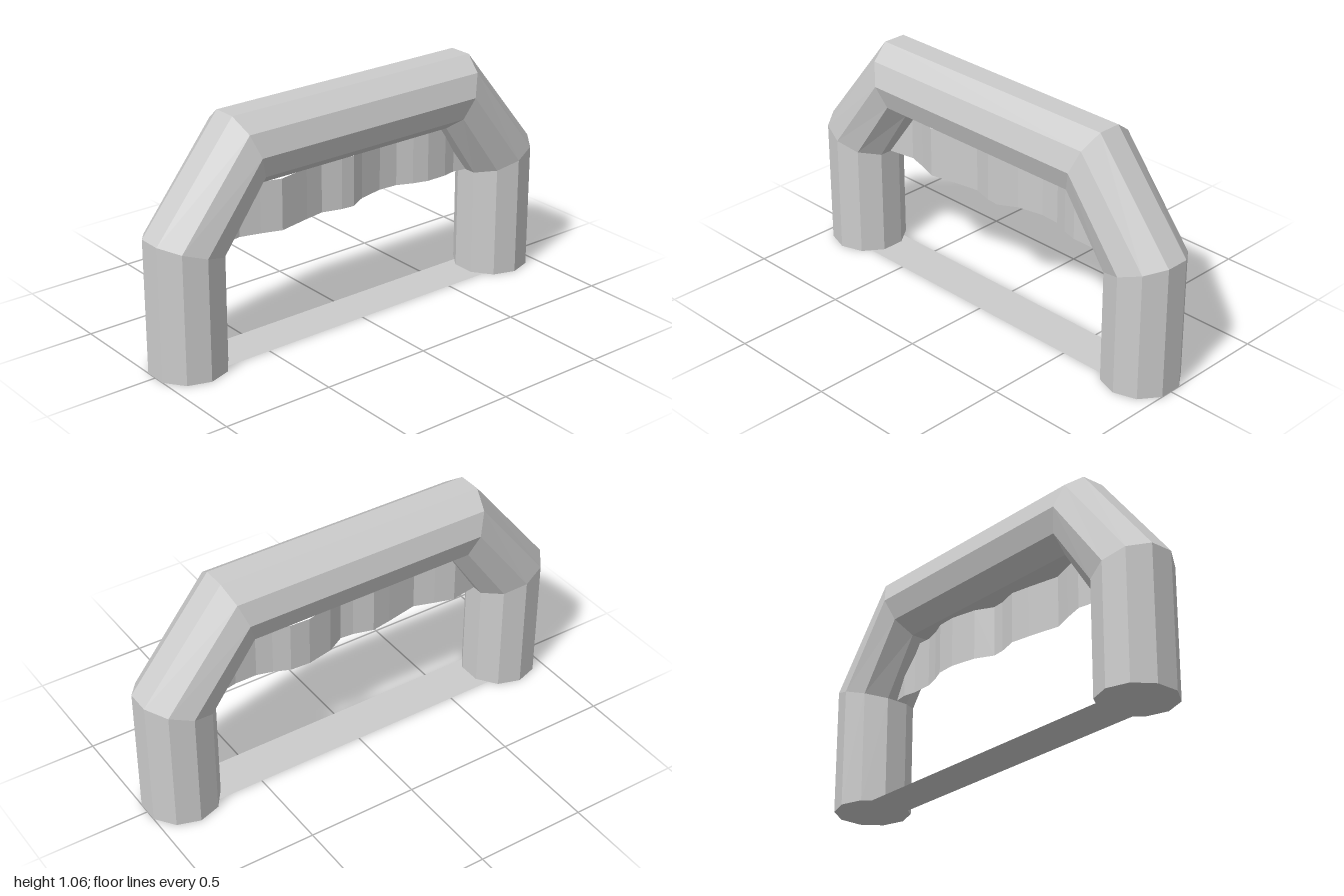
import * as THREE from 'three';

const SIDES = 10;
const RADIUS = 0.17;

const makeMaterial = (side = THREE.FrontSide) =>
  new THREE.MeshStandardMaterial({ color: 0xcccccc, flatShading: true, side });

// Mitred rings along the arch: centre (x, y) and outward mitre direction (dx, dy).
function archRings() {
  const half = [
    { x: 0.83, y: 0, dx: 0.17, dy: 0 },
    { x: 0.83, y: 0.542, dx: 0.17, dy: 0.056 },
    { x: 0.565, y: 0.898, dx: 0.063, dy: 0.166 },
  ];
  half[0].x = half[1].x = 0.838;
  const mirrored = half.map((r) => ({ ...r, x: -r.x, dx: -r.dx })).reverse();
  return [...half, ...mirrored].map((r) =>
    Array.from({ length: SIDES }, (_, i) => {
      const a = ((i + 0.5) / SIDES) * Math.PI * 2;
      const d = Math.cos(a);
      return [r.x + r.dx * d, r.y + r.dy * d, RADIUS * Math.sin(a)];
    })
  );
}

// Ten-sided tube bent into an arch, closed at both feet.
function archGeometry() {
  const rings = archRings();
  const pos = [];
  const tri = (a, b, c) => pos.push(...a, ...b, ...c);
  for (let k = 0; k < rings.length - 1; k++) {
    for (let i = 0; i < SIDES; i++) {
      const j = (i + 1) % SIDES;
      tri(rings[k][i], rings[k + 1][i], rings[k][j]);
      tri(rings[k][j], rings[k + 1][i], rings[k + 1][j]);
    }
  }
  const first = rings[0];
  const last = rings[rings.length - 1];
  for (let i = 1; i < SIDES - 1; i++) {
    tri(first[0], first[i], first[i + 1]);
    tri(last[0], last[i + 1], last[i]);
  }
  const geo = new THREE.BufferGeometry();
  geo.setAttribute('position', new THREE.Float32BufferAttribute(pos, 3));
  geo.computeVertexNormals();
  return geo;
}

// Thin sheet hanging from a rippled line of [x, z] points.
function curtainGeometry(bottom, top) {
  const ripple = [
    [-0.69, 0], [-0.55, -0.025], [-0.46, 0], [-0.37, 0.03], [-0.22, 0],
    [-0.13, -0.015], [-0.04, 0.01], [0.02, 0.015], [0.1, -0.03], [0.22, -0.055],
    [0.31, -0.05], [0.38, -0.02], [0.45, 0], [0.55, 0], [0.61, -0.012], [0.69, 0],
  ];
  const geo = new THREE.PlaneGeometry(1, 1, ripple.length - 1, 1);
  const p = geo.attributes.position;
  ripple.forEach(([x, z], i) => {
    p.setXYZ(i, x, top, z);
    p.setXYZ(i + ripple.length, x, bottom, z);
  });
  geo.computeVertexNormals();
  return geo;
}

export function createModel() {
  const model = new THREE.Group();
  model.name = 'archGate';
  const add = (name, geometry, material) => {
    const mesh = new THREE.Mesh(geometry, material);
    mesh.name = name;
    model.add(mesh);
    return mesh;
  };

  add('archTube', archGeometry(), makeMaterial());
  add('hangingCurtain', curtainGeometry(0.49, 0.72), makeMaterial(THREE.DoubleSide));

  // Flat strip on the floor joining the two feet
  const strip = add('floorStrip', new THREE.PlaneGeometry(1.5, 0.2), makeMaterial(THREE.DoubleSide));
  strip.rotation.x = -Math.PI / 2;

  return model;
}
